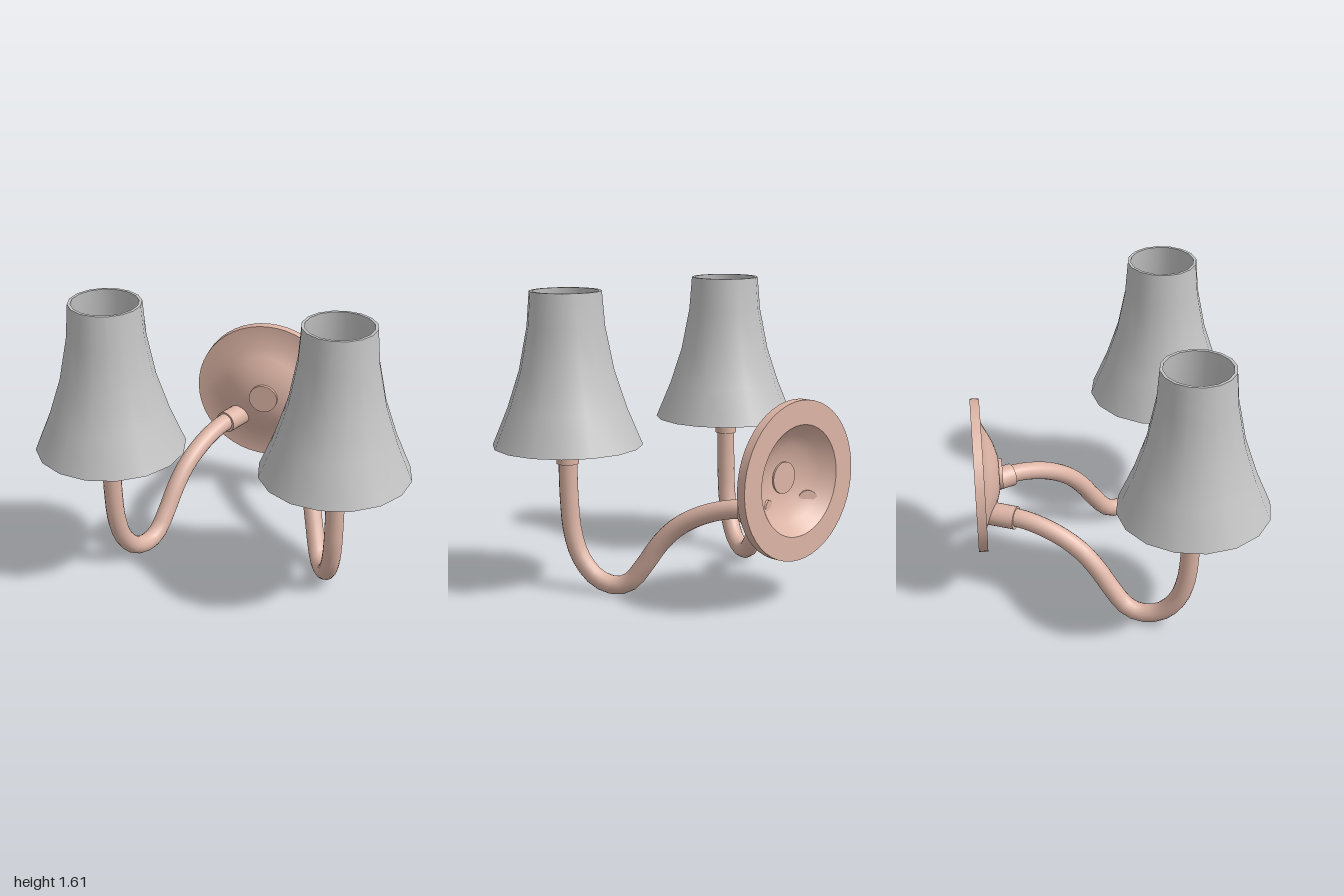
import * as THREE from 'three';
import { toCreasedNormals } from 'three/addons/utils/BufferGeometryUtils.js';

const copper = new THREE.MeshStandardMaterial({ color: 0xddb5a6 });
copper.name = 'copper';
const fabric = new THREE.MeshStandardMaterial({ color: 0xc4c4c4 });
fabric.name = 'shadeGrey';

const PLATE_Y = 0.68;

function part(name, geometry, material) {
  const mesh = new THREE.Mesh(geometry, material);
  mesh.name = name;
  return mesh;
}

function lathe(profile, sides) {
  const points = profile.map(([r, y]) => new THREE.Vector2(r, y));
  return toCreasedNormals(new THREE.LatheGeometry(points, sides), 0.5);
}

// Cylinder running between two points
function rod(name, a, b, radius, sides) {
  const dir = b.clone().sub(a);
  const mesh = part(name, new THREE.CylinderGeometry(radius, radius, dir.length(), sides), copper);
  mesh.position.copy(a).add(b).multiplyScalar(0.5);
  mesh.quaternion.setFromUnitVectors(new THREE.Vector3(0, 1, 0), dir.normalize());
  return mesh;
}

// Arm centre line as [z, y]; each arm lies in one slanted vertical plane
const armPath = [
  [-0.65, 0.535], [-0.5, 0.53], [-0.35, 0.485], [-0.22, 0.405], [-0.13, 0.305],
  [-0.05, 0.18], [0.025, 0.083], [0.1, 0.055], [0.2, 0.087], [0.285, 0.195],
  [0.325, 0.33], [0.34, 0.5], [0.345, 0.75],
];

function createLight(side) {
  const light = new THREE.Group();
  light.name = side > 0 ? 'leftLight' : 'rightLight';
  const at = (z, y) => new THREE.Vector3(side * (0.61 - 0.45 * (0.345 - z)), y, z);

  // Curved arm and the socket joining it to the wall plate
  const curve = new THREE.CatmullRomCurve3(armPath.map(([z, y]) => at(z, y)));
  light.add(part('arm', new THREE.TubeGeometry(curve, 32, 0.05, 16), copper));
  light.add(rod('armSocket', at(-0.675, 0.53), at(-0.54, 0.53), 0.063, 24));

  // Cup on top of the arm
  const cupAt = (y) => at(0.345, y);
  light.add(rod('cup', cupAt(0.7), cupAt(0.84), 0.06, 24));

  // Four slim spokes carrying the shade
  for (let i = 0; i < 4; i++) {
    const angle = 0.19 + i * Math.PI / 2;
    const dir = new THREE.Vector3(side * Math.cos(angle), 0, -Math.sin(angle));
    const inner = cupAt(0.745).addScaledVector(dir, 0.03);
    const outer = cupAt(0.83).addScaledVector(dir, 0.355);
    light.add(rod('shadeSpoke', inner, outer, 0.013, 8));
  }

  // Flared shade, a thin open shell
  const outside = [[0.398, 0.8], [0.315, 1.0], [0.25, 1.2], [0.205, 1.43], [0.19, 1.615]];
  const inside = outside.map(([r, y]) => [r - 0.016, y]).reverse();
  const shade = part('shade', lathe([...outside, ...inside, outside[0]], 16), fabric);
  shade.position.set(side * 0.602, 0, 0.35);
  light.add(shade);
  return light;
}

export function createModel() {
  const model = new THREE.Group();
  model.name = 'wallLamp';

  // Wall plate with a domed front and hollow back, as [radius, z]
  const plate = part('wallPlate', lathe([
    [0, -0.63], [0.1, -0.637], [0.17, -0.658], [0.23, -0.69], [0.29, -0.75],
    [0.416, -0.75], [0.416, -0.7],
    [0.29, -0.7], [0.23, -0.668], [0.17, -0.638], [0.1, -0.617], [0, -0.61],
  ], 48).rotateX(Math.PI / 2), copper);
  plate.position.y = PLATE_Y;
  model.add(plate);

  // Round button through the plate centre
  model.add(rod('plateButton', new THREE.Vector3(0, PLATE_Y, -0.645),
    new THREE.Vector3(0, PLATE_Y, -0.597), 0.083, 32));

  for (const side of [1, -1]) model.add(createLight(side));
  return model;
}
